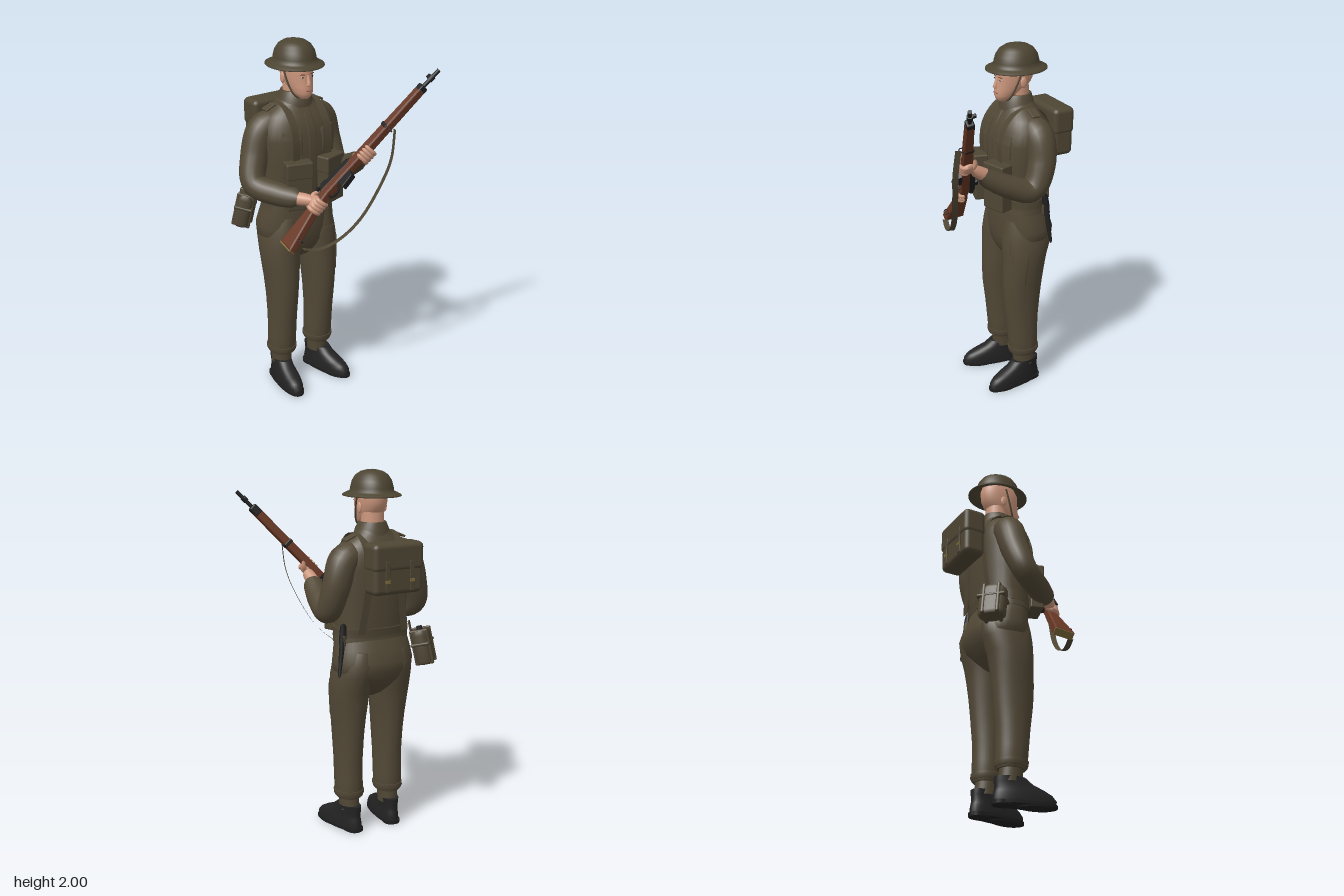
import * as THREE from 'three';
import { RoundedBoxGeometry } from 'three/addons/geometries/RoundedBoxGeometry.js';
import { ParametricGeometry } from 'three/addons/geometries/ParametricGeometry.js';

const CX = -0.095; // body centre line
const mat = (name, color, side = THREE.FrontSide) => {
  const m = new THREE.MeshStandardMaterial({ color, side });
  m.name = name;
  return m;
};
const V = (x, y, z) => new THREE.Vector3(x, y, z);

// Closed skin over stacked horizontal rings [x, y, z, rx, rz], listed upwards.
// With t0/t1 it covers only part of the way round, its edges tucked inwards.
function loft(rings, { seg = 36, p = 2, t0 = 0, t1 = Math.PI * 2 } = {}) {
  const whole = t1 - t0 > 6.28, n = whole ? seg : 12, first = rings[0], last = rings[rings.length - 1];
  const flat = r => [r[0], r[1], r[2], 0, 0];
  const all = [flat(first), first, ...rings, last, flat(last)];
  const pos = [], idx = [], w = whole ? n : n + 1;
  const pw = v => Math.sign(v) * Math.abs(v) ** (2 / p);
  for (const [x, y, z, rx, rz] of all) {
    for (let j = 0; j < w; j++) {
      const k = whole ? j : Math.min(Math.max(j - 1, 0), n - 2);
      const t = t0 + (t1 - t0) * k / (whole ? n : n - 2);
      const f = !whole && (j === 0 || j === n) ? 0.95 : 1;
      pos.push(x + rx * f * pw(Math.cos(t)), y, z + rz * f * pw(Math.sin(t)));
    }
  }
  for (let i = 0; i < all.length - 1; i++) {
    for (let j = 0; j < n; j++) {
      const a = i * w + j, b = i * w + (j + 1) % w;
      idx.push(a, a + w, b, b, a + w, b + w);
    }
  }
  const g = new THREE.BufferGeometry();
  g.setAttribute('position', new THREE.Float32BufferAttribute(pos, 3));
  g.setIndex(idx);
  g.computeVertexNormals();
  return g;
}

// Raised layer following a loft between two heights
function band(rings, y0, y1, grow, opts) {
  const at = y => {
    const i = Math.max(1, rings.findIndex(r => r[1] >= y));
    const a = rings[i - 1], b = rings[i], k = (y - a[1]) / (b[1] - a[1]);
    return a.map((v, c) => v + (b[c] - v) * k + (c > 2 ? grow : 0));
  };
  const heights = [y0, ...rings.map(r => r[1]).filter(y => y > y0 + .004 && y < y1 - .004), y1];
  return loft(heights.map(at), opts);
}

// Tube whose radius changes along the path, rounded at both ends
function limb(points, radii, n = 40, sides = 20) {
  const curve = new THREE.CatmullRomCurve3(points);
  const g = new THREE.TubeGeometry(curve, n, 1, sides);
  const p = g.attributes.position, m = radii.length - 1;
  for (let i = 0; i <= n; i++) {
    const u = i / n, f = curve.getUtoTmapping(u) * m, k = Math.min(Math.floor(f), m - 1);
    const end = Math.min(i, n - i), c = curve.getPointAt(u);
    const r = THREE.MathUtils.lerp(radii[k], radii[k + 1], f - k) * [0.01, 0.75, 0.95, 1][Math.min(end, 3)];
    for (let j = 0; j <= sides; j++) {
      const q = i * (sides + 1) + j;
      p.setXYZ(q, c.x + (p.getX(q) - c.x) * r, c.y + (p.getY(q) - c.y) * r, c.z + (p.getZ(q) - c.z) * r);
    }
  }
  return g;
}

// Flat strap along a path, widened along one direction
function ribbon(points, dir, width) {
  const c = new THREE.CatmullRomCurve3(points);
  return new ParametricGeometry((u, v, out) => out.copy(c.getPoint(u)).addScaledVector(dir, (v - 0.5) * width), 40, 1);
}

export function createModel() {
  const model = new THREE.Group();
  model.name = 'soldier';
  const cloth = mat('khaki cloth', 0x524836), web = mat('webbing', 0x4f4634, THREE.DoubleSide);
  const steel = mat('helmet paint', 0x4c4432), skin = mat('skin', 0xcb967c), lip = mat('lips', 0xac6f60);
  const wood = mat('rifle wood', 0x673724), black = mat('gun metal', 0x1f1f20), leather = mat('boot leather', 0x232324);
  const brass = mat('brass', 0x7d6b3a), white = mat('eye white', 0xc4b5a8);
  const add = (name, g, m, parent = model, pos) => {
    const o = new THREE.Mesh(g, m);
    o.name = name;
    if (pos) o.position.set(...pos);
    parent.add(o);
    return o;
  };
  const box = (x, y, z, r = 0.012) => new RoundedBoxGeometry(x, y, z, 3, r);

  // Tunic and trousers
  const torso = [[1.08, -.13, .212, .13], [1.13, -.13, .207, .127], [1.2, -.13, .205, .137], [1.35, -.127, .211, .15],
    [1.48, -.13, .226, .153], [1.56, -.137, .218, .141], [1.61, -.142, .183, .119], [1.645, -.145, .135, .097],
    [1.67, -.145, .1, .086], [1.7, -.142, .08, .078]].map(([y, z, a, b]) => [CX, y, z, a, b]);
  const hips = [[.765, -.125, .02, .03], [.79, -.13, .06, .075], [.83, -.135, .12, .11], [.88, -.146, .2, .138], [.93, -.153, .23, .152],
    [.98, -.154, .234, .156], [1.05, -.143, .222, .144], [1.12, -.13, .208, .13]].map(([y, z, a, b]) => [CX, y, z, a, b]);
  add('tunic', loft(torso, { p: 2.2 }), cloth);
  add('trouserSeat', loft(hips, { p: 2.2 }), cloth);
  add('tunicHem', band(torso, 1.085, 1.115, 0.008, { p: 2.2 }), cloth);
  add('belt', band(torso, 1.115, 1.165, 0.011, { p: 2.2 }), web);
  add('buttonPlacket', band(torso, 1.17, 1.64, 0.003, { p: 2.2, t0: 1.48, t1: 1.66 }), cloth);
  add('beltBuckle', box(.045, .035, .008, .003), web, model, [CX, 1.14, .01]);
  for (const s of [-1, 1]) {
    const mid = Math.PI / 2 + s * 0.52;
    add('chestPocket', band(torso, 1.41, 1.53, 0.004, { p: 2.2, t0: mid - .26, t1: mid + .26 }), cloth);
    add('pocketFlap', band(torso, 1.495, 1.535, 0.008, { p: 2.2, t0: mid - .27, t1: mid + .27 }), cloth);
  }
  add('collar', loft([[CX, 1.645, -.142, .105, .097], [CX, 1.69, -.14, .09, .091], [CX, 1.725, -.145, .073, .076]]), cloth);

  // Legs, gaiters and boots
  for (const s of [-1, 1]) {
    const x = s < 0 ? -.22 : .034;
    const leg = [[.19, -.12, .066, .075], [.215, -.12, .077, .085], [.3, -.115, .077, .088], [.42, -.11, .077, .095],
      [.55, -.108, .081, .11], [.65, -.111, .09, .117], [.74, -.118, .1, .122], [.82, -.126, .107, .128],
      [.9, -.14, .108, .143], [.97, -.15, .103, .147], [1.04, -.145, .085, .132]].map(([y, z, a, b], i) => [x - s * Math.max(0, i - 7) * .006, y, z, a, b]);
    add('trouserLeg', loft(leg), cloth);
    add('trouserCuff', band(leg, .2, .235, .005), cloth);
    add('gaiter', loft([[x, .12, -.125, .054, .064], [x, .2, -.12, .055, .064]]), web);
    if (s > 0) {
      add('thighPocket', band(leg, .85, .94, .004, { t0: 1.1, t1: 2.1 }), cloth);
      add('sidePocket', band(leg, .66, .86, .003, { t0: .25, t1: 1 }), cloth);
    }
    const boot = new THREE.Group();
    boot.name = 'boot';
    boot.position.set(s < 0 ? -.224 : .04, 0, -.12);
    boot.rotation.y = s * .17;
    model.add(boot);
    add('bootUpper', loft([[0, .02, .07, .056, .169], [0, .045, .07, .057, .17], [0, .07, .062, .055, .156], [0, .09, .045, .052, .135],
      [0, .115, .012, .049, .105], [0, .145, -.008, .05, .084]], { p: 2.3 }), leather, boot);
    add('bootSole', loft([[0, .006, .07, .058, .175], [0, .022, .07, .059, .176]], { p: 2.4 }), black, boot);
    add('bootHeel', loft([[0, 0, -.045, .046, .056], [0, .02, -.045, .048, .058]], { p: 2.6 }), black, boot);
    add('bootTread', loft([[0, 0, .13, .05, .095], [0, .01, .13, .052, .1]]), black, boot);
  }

  // Sleeves and wrists
  add('rightSleeve', limb([V(-.2, 1.565, -.155), V(-.285, 1.53, -.17), V(-.345, 1.39, -.165), V(-.38, 1.255, -.12), V(-.31, 1.215, 0), V(-.235, 1.2, .1)],
    [.075, .085, .077, .067, .064, .052]), cloth);
  add('leftSleeve', limb([V(.01, 1.565, -.155), V(.095, 1.53, -.17), V(.14, 1.39, -.165), V(.153, 1.255, -.1), V(.132, 1.29, .03), V(.095, 1.375, .185)],
    [.075, .085, .077, .068, .064, .052]), cloth);
  add('rightWrist', limb([V(-.26, 1.2, .06), V(-.225, 1.2, .11), V(-.195, 1.195, .145)], [.036, .034, .03], 16), skin);
  add('leftWrist', limb([V(.1, 1.36, .14), V(.1, 1.39, .19), V(.1, 1.412, .23)], [.036, .034, .03], 16), skin);

  // Head
  const headRings = [[1.693, -.06, .022, .028], [1.706, -.062, .036, .046], [1.728, -.076, .052, .068], [1.76, -.1, .063, .09],
    [1.79, -.117, .071, .102], [1.83, -.127, .077, .11], [1.88, -.13, .079, .111], [1.93, -.135, .07, .09]];
  add('head', loft(headRings.map(([y, z, a, b]) => [CX, y, z, a, b]), { p: 2.1 }), skin);
  add('neck', new THREE.CylinderGeometry(.06, .064, .17, 24), skin, model, [CX, 1.725, -.145]);
  add('nose', loft([[CX, 1.766, -.016, .01, .012], [CX, 1.774, -.014, .014, .019], [CX, 1.79, -.016, .01, .015], [CX, 1.825, -.022, .007, .009]], { seg: 16 }), skin);
  add('mouth', box(.038, .008, .008, .003), lip, model, [CX, 1.743, -.0105]);
  for (const s of [-1, 1]) {
    add('eye', new THREE.SphereGeometry(.01, 14, 8), white, model, [CX + s * .031, 1.815, -.027]).scale.set(1, .45, .4);
    add('pupil', new THREE.SphereGeometry(.0045, 10, 8), black, model, [CX + s * .031, 1.815, -.023]).scale.z = .5;
    add('brow', box(.028, .004, .007, .002), wood, model, [CX + s * .032, 1.83, -.0245]).rotation.y = s * .3;
    add('ear', new THREE.SphereGeometry(.03, 16, 12), skin, model, [CX + s * .079, 1.8, -.14]).scale.set(.3, 1, .62);
  }
  add('chinStrap', new THREE.TubeGeometry(new THREE.CatmullRomCurve3([V(CX - .086, 1.88, -.13), V(CX - .077, 1.79, -.1), V(CX - .052, 1.715, -.07),
    V(CX, 1.688, -.058), V(CX + .052, 1.715, -.07), V(CX + .077, 1.79, -.1), V(CX + .086, 1.88, -.13)]), 40, .005, 8), web);

  // Wide-brimmed helmet
  const profile = [[0, 1.965], [.06, 1.95], [.1, 1.91], [.114, 1.881], [.14, 1.871], [.161, 1.861], [.163, 1.863], [.162, 1.868],
    [.14, 1.879], [.122, 1.886], [.119, 1.905], [.11, 1.94], [.09, 1.97], [.062, 1.988], [.03, 1.996], [0, 1.998]];
  const helmet = add('helmet', new THREE.LatheGeometry(profile.map(a => new THREE.Vector2(...a)), 48), steel, model, [CX, 0, -.138]);
  helmet.scale.set(.935, 1, 1.06);
  add('helmetRivet', new THREE.SphereGeometry(.006, 10, 8), steel, model, [CX, 1.994, -.14]);

  // Webbing: shoulder straps, epaulettes and ammunition pouches
  for (const s of [-1, 1]) {
    const x = CX + s * .105, side = [[1.15, .012], [1.35, .017], [1.48, .02], [1.56, 0], [1.62, -.04], [1.66, -.09], [1.672, -.145],
      [1.66, -.198], [1.62, -.246], [1.56, -.276], [1.48, -.282], [1.35, -.276]];
    const path = side.map(([y, z]) => V(x, y, z));
    path.push(V(x + s * .03, 1.14, -.262));
    add('shoulderStrap', ribbon(path, V(1, 0, 0), .045), web);
    add('epaulette', box(.07, .012, .05, .005), cloth, model, [CX + s * .155, 1.648, -.16]).rotation.z = -s * .4;
    const pouch = new THREE.Group();
    pouch.name = 'ammunitionPouch';
    pouch.position.set(CX + s * .108, 1.25, .035);
    pouch.rotation.y = s * .29;
    model.add(pouch);
    add('pouchBody', box(.145, .26, .075, .008), web, pouch);
    add('pouchFlap', box(.149, .09, .08, .008), web, pouch, [0, .089, 0]);
  }

  // Back pack
  const pack = new THREE.Group();
  pack.name = 'backPack';
  pack.position.set(CX, 1.503, -.355);
  model.add(pack);
  add('packBody', box(.3, .265, .12, .028), web, pack);
  add('packFlap', box(.308, .15, .128, .028), web, pack, [0, .063, -.002]);
  for (const s of [-1, 1]) {
    add('packStrap', box(.026, .16, .008, .003), web, pack, [s * .075, -.035, -.064]);
    add('packBuckle', box(.03, .018, .006, .002), brass, pack, [s * .075, -.06, -.067]);
  }

  // Water bottle hanging on the right hip
  const bottle = new THREE.Group();
  bottle.name = 'waterBottle';
  bottle.position.set(-.332, 1.045, -.295);
  bottle.rotation.set(-.22, Math.PI * 1.25, 0, 'YXZ');
  model.add(bottle);
  add('bottleBody', loft([[0, -.095, 0, .06, .038], [0, -.08, 0, .074, .049], [0, .07, 0, .076, .05], [0, .093, 0, .058, .038]], { p: 2.8 }), web, bottle);
  add('bottleNeck', new THREE.CylinderGeometry(.016, .018, .025, 16), black, bottle, [0, .098, 0]);
  add('bottleBand', box(.156, .018, .104, .008), web, bottle, [0, .02, 0]);
  for (const s of [-1, 1]) add('bottleStrap', box(.02, .195, .104, .008), web, bottle, [s * .04, 0, 0]);
  add('bottleHanger', box(.03, .1, .008, .003), web, bottle, [0, .1, -.05]);

  // Bayonet on the left hip
  add('scabbard', limb([V(.13, 1.09, -.21), V(.142, 1.0, -.215), V(.156, .91, -.224)], [.016, .012, .008], 20, 10), black);
  add('bayonetGrip', limb([V(.117, 1.2, -.2), V(.122, 1.14, -.205), V(.131, 1.07, -.21)], [.015, .02, .017], 20, 10), black);
  add('bayonetFrog', box(.02, .06, .042, .006), web, model, [.122, 1.11, -.205]);

  // Rifle: local x runs to the muzzle, y towards the sights
  const rifle = new THREE.Group();
  rifle.name = 'rifle';
  const ax = V(.626, .72, .3).normalize(), up = V(.197, .226, -.954), az = ax.clone().cross(up).normalize();
  rifle.quaternion.setFromRotationMatrix(new THREE.Matrix4().makeBasis(ax, az.clone().cross(ax), az));
  rifle.position.set(.435, 1.86, .41);
  model.add(rifle);
  const slab = (pts, width, bevel) => {
    const g = new THREE.ExtrudeGeometry(new THREE.Shape(pts.map(a => new THREE.Vector2(...a))),
      { depth: width - bevel * 2, bevelSize: bevel, bevelThickness: bevel, bevelSegments: 3 });
    return g.translate(0, 0, bevel - width / 2);
  };
  add('stock', slab([[-1.215, -.045], [-1.0, -.022], [-.95, -.022], [-.89, -.006], [-.62, .004], [-.15, .01], [-.15, -.012], [-.62, -.032],
    [-.87, -.038], [-.94, -.05], [-1.0, -.062], [-1.205, -.136]], .048, .01), wood, rifle);
  add('buttPlate', box(.01, .11, .044, .004), brass, rifle, [-1.222, -.09, 0]).rotation.z = .1;
  const rod = (name, x0, x1, r, y = 0) => add(name, new THREE.CylinderGeometry(r, r, x1 - x0, 16).rotateZ(Math.PI / 2), black, rifle, [(x0 + x1) / 2, y, 0]);
  rod('barrel', -.16, 0, .011);
  rod('muzzleCollar', -.075, -.045, .016);
  rod('receiver', -.92, -.66, .021, .014);
  rod('boltHead', -.96, -.9, .015, .014);
  add('noseCap', box(.06, .042, .046, .008), black, rifle, [-.145, 0, 0]);
  add('frontSight', box(.024, .03, .016, .004), black, rifle, [-.06, .018, 0]);
  add('rearSight', box(.04, .028, .03, .005), black, rifle, [-.85, .036, 0]);
  add('receiverBody', box(.22, .036, .05, .006), black, rifle, [-.78, .012, 0]);
  add('barrelBand', box(.022, .048, .054, .006), black, rifle, [-.4, -.005, 0]);
  add('magazine', slab([[-.79, -.03], [-.7, -.03], [-.705, -.078], [-.78, -.09]], .036, .004), black, rifle);
  add('triggerGuard', new THREE.TorusGeometry(.03, .004, 8, 20), black, rifle, [-.835, -.056, 0]).scale.set(1.2, .85, 1.6);
  add('boltHandle', limb([V(-.88, .012, 0), V(-.885, .01, .04), V(-.89, -.02, .055)], [.007, .007, .011], 14, 10), black, rifle);
  for (const [x, y] of [[-.4, -.042], [-1.14, -.132]]) add('slingSwivel', new THREE.TorusGeometry(.014, .003, 6, 16), black, rifle, [x, y, 0]).rotation.y = Math.PI / 2;

  // Hands wrapped round the rifle from either side
  for (const [name, x, s, y] of [['leftHand', -.58, -1, 0], ['rightHand', -.955, 1, -.012]]) {
    const hand = new THREE.Group();
    hand.name = name;
    hand.position.set(x, y, 0);
    rifle.add(hand);
    add('palm', new THREE.SphereGeometry(.045, 20, 14), skin, hand, [0, -.016, s * .032]).scale.set(.98, .85, .48);
    for (let i = 0; i < 4; i++) {
      const fx = (i - 1.5) * .0205;
      add('finger', limb([V(fx, -.015, s * .042), V(fx, -.045, s * .034), V(fx + .003, -.06, s * .006), V(fx + .004, -.046, -s * .026), V(fx + .003, -.022, -s * .034)],
        [.012, .0125, .0115, .0105, .009], 22, 10), skin, hand);
    }
    add('thumb', limb([V(.0, .0, s * .04), V(.03, .02, s * .034), V(.055, .027, s * .016)], [.014, .0125, .01], 16, 10), skin, hand);
  }

  // Hanging sling
  add('sling', ribbon([V(.19, 1.57, .355), V(.165, 1.42, .362), V(.125, 1.3, .345), V(.01, 1.09, .3), V(-.11, .985, .262), V(-.22, .95, .23), V(-.3, .965, .205)],
    V(-.3, 0, .95), .032), web);
  return model;
}
